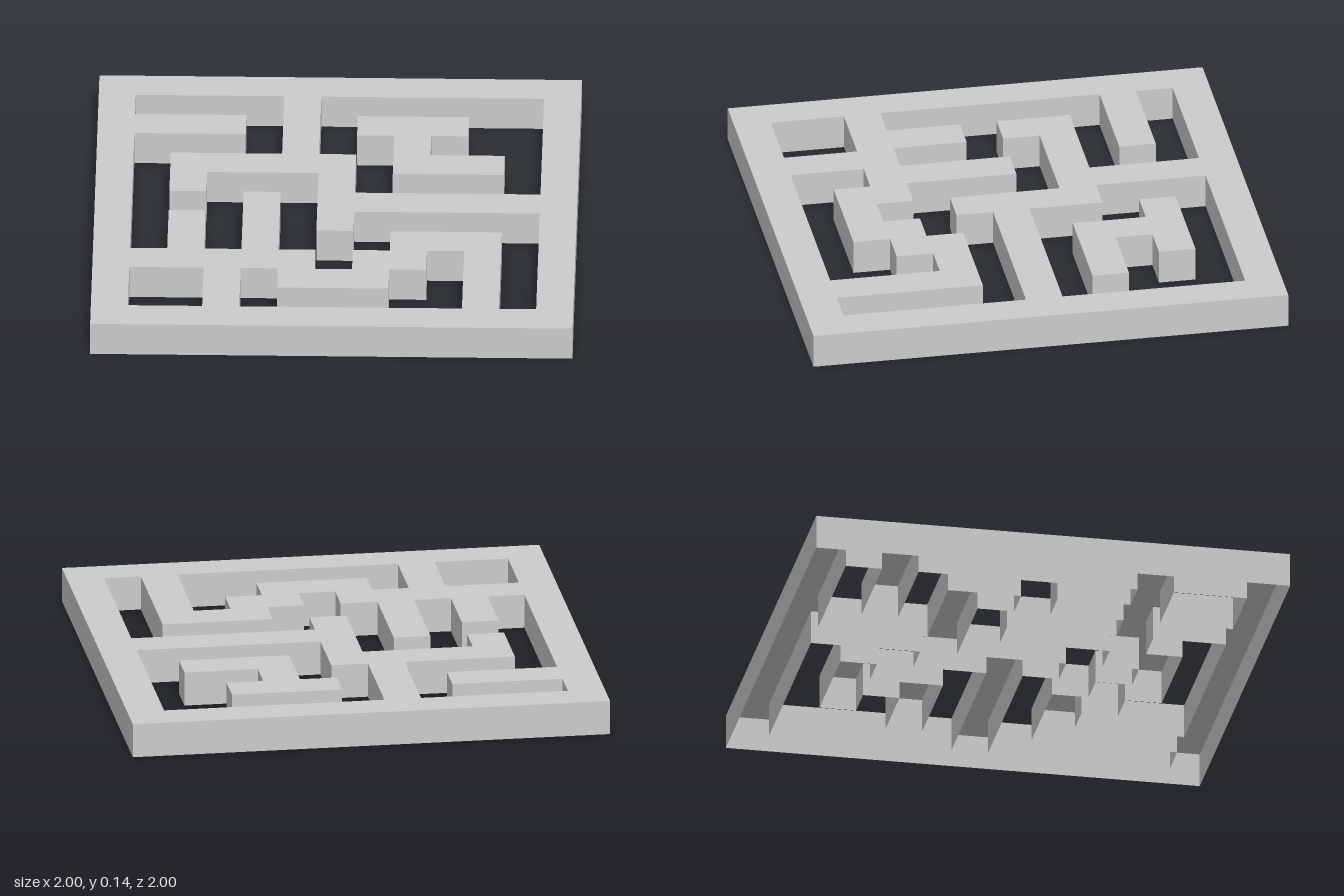
import * as THREE from 'three';
import { mergeGeometries } from 'three/addons/utils/BufferGeometryUtils.js';

// Floor plan, back row first: # is wall, . is passage
const PLAN = [
  '#############',
  '#....#......#',
  '####.#.###..#',
  '#....#..#...#',
  '#.#####.###.#',
  '#.#...#.....#',
  '#...#.#######',
  '#.#.#.#.....#',
  '#.#.#...###.#',
  '######.##.#.#',
  '#..#.###..#.#',
  '#..#......#.#',
  '#############',
];
const N = PLAN.length;
const CELL = 2 / N;
const HEIGHT = 0.145;

const isWall = (col, row) => PLAN[row]?.[col] === '#';
const centre = (i) => -1 + (i + 0.5) * CELL;

// Calls add(start, length) for each unbroken run of true values of test(i)
function forRuns(test, add) {
  let start = -1;
  for (let i = 0; i <= N; i++) {
    const on = i < N && test(i);
    if (on && start < 0) start = i;
    if (!on && start >= 0) {
      add(start, i - start);
      start = -1;
    }
  }
}

export function createModel() {
  const group = new THREE.Group();
  group.name = 'maze';
  const material = new THREE.MeshStandardMaterial({
    color: 0xcccccc, flatShading: true, side: THREE.DoubleSide,
  });
  const tops = [];
  const sides = [];

  // Flat tops, one strip per run of wall cells in a row
  for (let row = 0; row < N; row++) {
    forRuns((col) => isWall(col, row), (start, length) => {
      tops.push(new THREE.PlaneGeometry(length * CELL, CELL)
        .rotateX(-Math.PI / 2)
        .translate(centre(start + (length - 1) / 2), HEIGHT, centre(row)));
    });
  }

  // Upright faces wherever wall meets passage or the outside; underside stays open
  for (let line = 0; line < N; line++) {
    for (const dir of [1, -1]) {
      // Faces looking along z
      forRuns((col) => isWall(col, line) && !isWall(col, line + dir), (start, length) => {
        sides.push(new THREE.PlaneGeometry(length * CELL, HEIGHT)
          .rotateY(dir > 0 ? 0 : Math.PI)
          .translate(centre(start + (length - 1) / 2), HEIGHT / 2, centre(line + dir / 2)));
      });
      // Faces looking along x
      forRuns((row) => isWall(line, row) && !isWall(line + dir, row), (start, length) => {
        sides.push(new THREE.PlaneGeometry(length * CELL, HEIGHT)
          .rotateY(dir * Math.PI / 2)
          .translate(centre(line + dir / 2), HEIGHT / 2, centre(start + (length - 1) / 2)));
      });
    }
  }

  for (const [name, parts] of [['wallTops', tops], ['wallSides', sides]]) {
    const mesh = new THREE.Mesh(mergeGeometries(parts), material);
    mesh.name = name;
    group.add(mesh);
  }
  return group;
}
